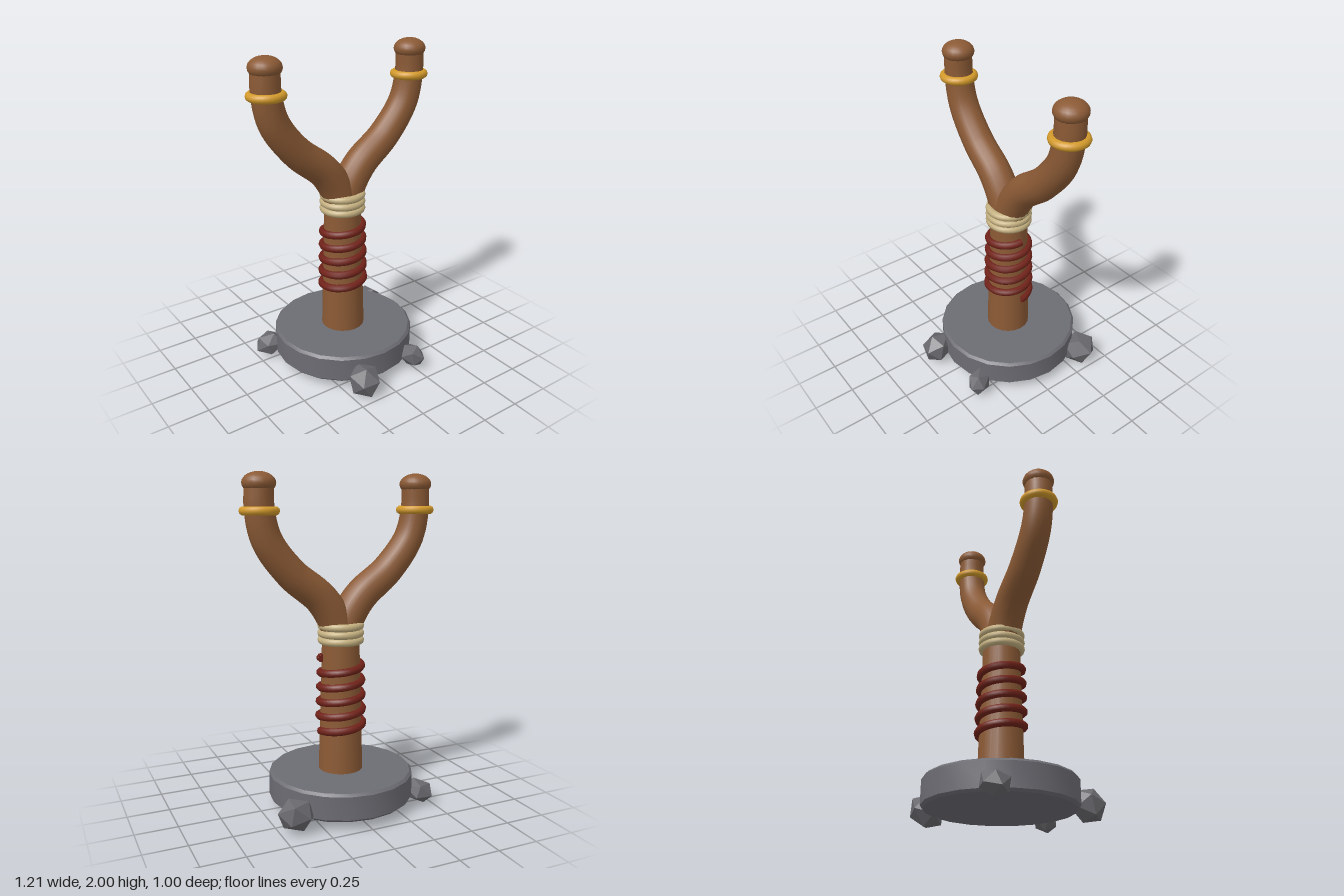
import * as THREE from 'three';
import { toCreasedNormals } from 'three/addons/utils/BufferGeometryUtils.js';

const AXIS_Z = -0.06; // the handle and base share this axis

function material(name, color, extra = {}) {
  const m = new THREE.MeshStandardMaterial({ color, ...extra });
  m.name = name;
  return m;
}

// Tube whose radius runs evenly from r0 to r1 along the curve
function taperedTube(curve, segments, r0, r1, sides) {
  const geo = new THREE.TubeGeometry(curve, segments, 1, sides);
  const pos = geo.attributes.position;
  const p = new THREE.Vector3(), c = new THREE.Vector3();
  for (let i = 0; i < pos.count; i++) {
    const t = Math.floor(i / (sides + 1)) / segments;
    curve.getPointAt(t, c);
    p.fromBufferAttribute(pos, i).sub(c).multiplyScalar(r0 + (r1 - r0) * t).add(c);
    pos.setXYZ(i, p.x, p.y, p.z);
  }
  return geo;
}

// Rising coil that starts and ends on the +x side
class Coil extends THREE.Curve {
  constructor(turns, y0, y1, r0, r1) {
    super();
    Object.assign(this, { turns, y0, y1, r0, r1 });
  }
  getPoint(t, target = new THREE.Vector3()) {
    const a = t * this.turns * Math.PI * 2;
    const r = this.r0 + (this.r1 - this.r0) * t;
    return target.set(Math.cos(a) * r, this.y0 + (this.y1 - this.y0) * t, -Math.sin(a) * r);
  }
}

export function createModel() {
  const wood = material('wood', 0x8b5a35);
  const stone = material('stone', 0x6c6c73);
  const rock = material('rock', 0x69696e, { flatShading: true });
  const red = material('red cord', 0x702219);
  const twine = material('twine', 0xc4b080);
  const gold = material('gold', 0xd39a2b);

  const model = new THREE.Group();
  model.name = 'forkedStick';
  const body = new THREE.Group();
  body.name = 'body';
  body.position.z = AXIS_Z;
  model.add(body);

  function add(name, geo, mat, x = 0, y = 0, z = 0, parent = body) {
    const mesh = new THREE.Mesh(geo, mat);
    mesh.name = name;
    mesh.position.set(x, y, z);
    parent.add(mesh);
    return mesh;
  }
  function ring(name, radius, tube, mat, x, y) {
    add(name, new THREE.TorusGeometry(radius, tube, 10, 28), mat, x, y).rotation.x = Math.PI / 2;
  }

  // Round base with a small bevel
  const profile = [[0, 0.06], [0.425, 0.06], [0.44, 0.075], [0.44, 0.215], [0.425, 0.23], [0, 0.23]]
    .map(([r, y]) => new THREE.Vector2(r, y));
  add('base', toCreasedNormals(new THREE.LatheGeometry(profile, 20), 0.6), stone);

  // Handle
  add('handle', new THREE.CylinderGeometry(0.11, 0.136, 0.92, 20), wood, 0, 0.66);

  // Red cord wound round the handle, with closed ends
  const coil = new Coil(5, 0.48, 0.925, 0.134, 0.122);
  add('cordWrap', new THREE.TubeGeometry(coil, 160, 0.024, 8), red);
  for (const t of [0, 1]) {
    const p = coil.getPoint(t);
    const end = add('cordEnd', new THREE.CircleGeometry(0.024, 8), red, p.x, p.y, p.z);
    end.rotation.y = t ? Math.PI : 0;
  }

  // Twine bands below the fork
  [1.03, 1.072, 1.117].forEach((y) => ring('twineBand', 0.117, 0.023, twine, 0, y));

  // Two arms of the fork, each with a ring and a rounded tip
  for (const s of [1, -1]) {
    const side = s > 0 ? 'left' : 'right';
    const path = new THREE.CatmullRomCurve3(
      [[0, 1.0], [0.035, 1.14], [0.13, 1.285], [0.31, 1.435], [0.45, 1.62], [0.492, 1.79], [0.492, 1.93]]
        .map(([x, y]) => new THREE.Vector3(s * x, y, 0)));
    add(side + 'Arm', taperedTube(path, 36, 0.107, 0.082, 16), wood);
    ring(side + 'ArmRing', 0.089, 0.025, gold, s * 0.492, 1.787);
    const tip = add(side + 'Tip', new THREE.SphereGeometry(0.095, 20, 14), wood, s * 0.492, 1.938);
    tip.scale.y = 0.65;
  }

  // Faceted rocks round the base: position, size, rotation
  const rocks = [
    [[-0.165, 0.1, 0.4], [0.095, 0.105, 0.11], [0.3, 0.2, -0.4]],
    [[0.245, 0.092, 0.355], [0.068, 0.078, 0.09], [0.5, 0.5, 0.1]],
    [[-0.42, 0.09, -0.295], [0.1, 0.073, 0.088], [0.2, -0.5, 0.4]],
    [[0.405, 0.105, -0.34], [0.118, 0.097, 0.11], [0.6, 0.7, 0.2]],
  ];
  for (const [pos, size, rot] of rocks) {
    const mesh = add('rock', new THREE.IcosahedronGeometry(1, 0), rock, ...pos, model);
    mesh.scale.set(...size);
    mesh.rotation.set(...rot);
  }
  return model;
}
